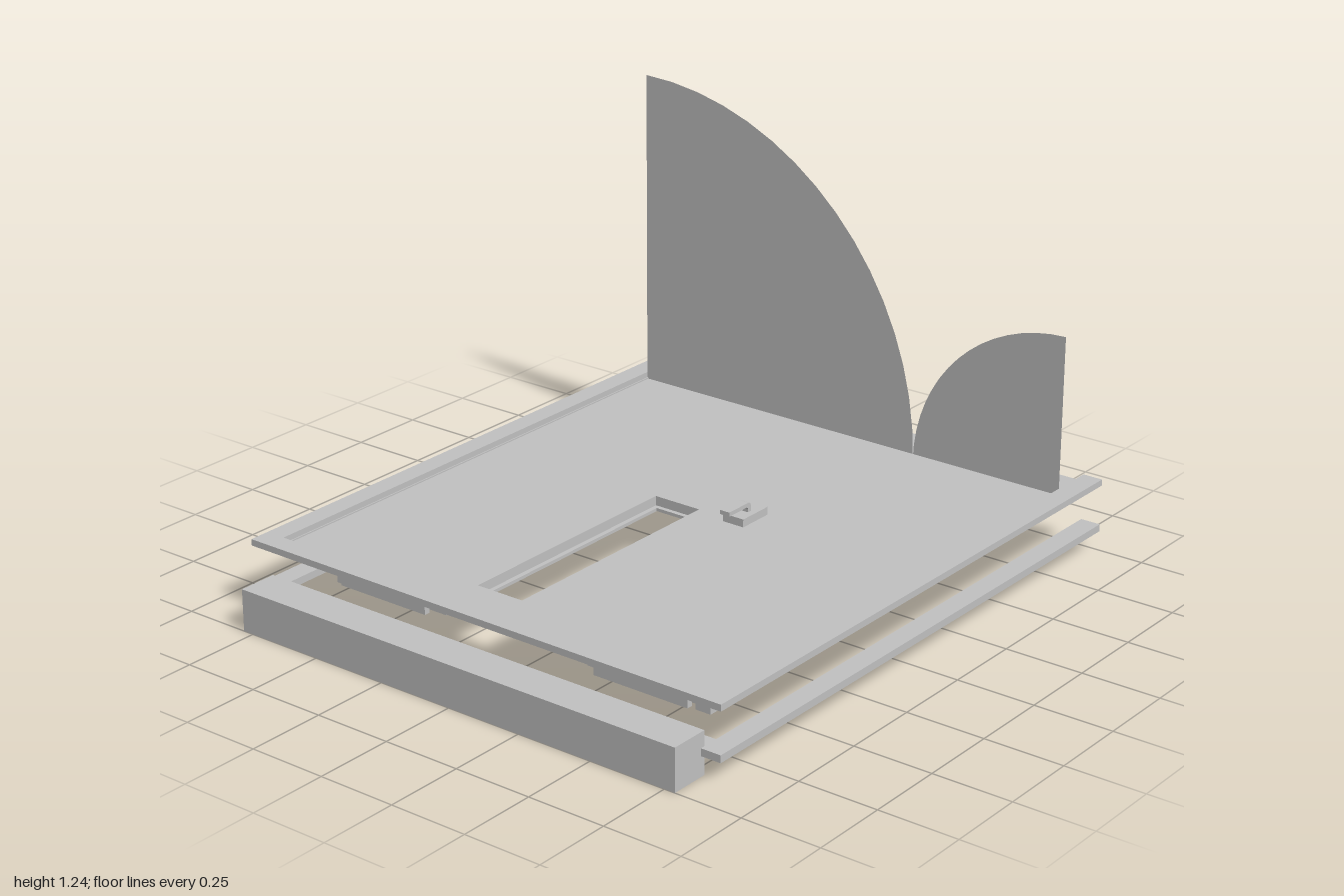
import * as THREE from 'three';

export function createModel() {
  const group = new THREE.Group();
  group.name = 'hatchPanel';
  const grey = new THREE.MeshStandardMaterial({ color: 0xc0c0c0, side: THREE.DoubleSide });
  grey.name = 'light grey';

  const add = (name, geometry) => {
    const mesh = new THREE.Mesh(geometry, grey);
    mesh.name = name;
    group.add(mesh);
    return mesh;
  };
  // Box from its minimum and maximum corners
  const box = (name, x0, x1, y0, y1, z0, z1) =>
    add(name, new THREE.BoxGeometry(x1 - x0, y1 - y0, z1 - z0))
      .position.set((x0 + x1) / 2, (y0 + y1) / 2, (z0 + z1) / 2);
  // Flat outline in x and z, raised from y0 to y1
  const slab = (name, points, y0, y1, hole) => {
    const flip = list => list.map(([x, z]) => new THREE.Vector2(x, -z));
    const shape = new THREE.Shape(flip(points));
    if (hole) shape.holes.push(new THREE.Path(flip(hole)));
    const g = new THREE.ExtrudeGeometry(shape, { depth: y1 - y0, bevelEnabled: false });
    add(name, g.rotateX(-Math.PI / 2).translate(0, y0, 0));
  };
  const rect = (x0, x1, z0, z1) => [[x0, z0], [x0, z1], [x1, z1], [x1, z0]];

  // Panel with a stepped slot
  const outline = rect(-0.785, 0.785, -1, 0.825);
  slab('panelBase', outline, 0.17, 0.18, rect(-0.145, -0.01, -0.1, 0.69));
  slab('panelTop', outline, 0.18, 0.21, rect(-0.16, 0.003, -0.115, 0.69));

  // Three-sided trim frames above and below
  const trim = [[-0.85, -1], [-0.85, 0.89], [0.85, 0.89], [0.85, -1],
    [0.785, -1], [0.785, 0.825], [-0.785, 0.825], [-0.785, -1]];
  slab('upperTrim', trim, 0.212, 0.232);
  slab('lowerTrim', trim, 0.062, 0.085);
  for (const s of [-1, 1]) {
    box('trimLip', s * 0.785 - 0.004, s * 0.785 + 0.004, 0.17, 0.214, -1, 0.825);
  }

  // Front beam
  box('frontBeam', -0.785, 0.785, 0, 0.132, 0.875, 1);

  // Thin upright quarter discs
  const quarter = (name, x, radius, start) => {
    const g = new THREE.CircleGeometry(radius, 16, start, Math.PI / 2);
    add(name, g).position.set(x, 0.19, -0.86);
  };
  quarter('largeQuarterDisc', -0.785, 1.045, 0);
  quarter('smallQuarterDisc', 0.785, 0.525, Math.PI / 2);

  // Handle plates and bent levers on both faces
  for (const s of [-1, 1]) {
    const y = d => 0.19 + s * d;
    const span = (a, b) => [Math.min(y(a), y(b)), Math.max(y(a), y(b))];
    box('handlePlate', 0.11, 0.185, ...span(0.018, 0.045), -0.21, -0.09);
    const lever = new THREE.Shape();
    lever.moveTo(0.155, 0.02);
    lever.lineTo(0.155, 0.06);
    lever.quadraticCurveTo(0.155, 0.075, 0.14, 0.075);
    lever.lineTo(0.05, 0.075);
    lever.lineTo(0.05, 0.062);
    lever.lineTo(0.132, 0.062);
    lever.quadraticCurveTo(0.141, 0.062, 0.141, 0.053);
    lever.lineTo(0.141, 0.02);
    const g = new THREE.ExtrudeGeometry(lever, { depth: 0.034, bevelEnabled: false, curveSegments: 6 });
    // Profile runs along -z, thickness along x
    g.rotateY(Math.PI / 2).translate(0.13, 0, 0);
    const mesh = add('handleLever', g);
    mesh.position.y = 0.19;
    if (s < 0) mesh.scale.y = -1;
  }

  // Latches under the front edge
  for (const [x0, x1, leg] of [[-0.61, -0.19, -0.61], [0.32, 0.74, 0.69]]) {
    box('latchBar', x0, x1, 0.145, 0.172, 0.74, 0.79);
    box('latchFoot', leg, leg + 0.05, 0.128, 0.146, 0.74, 0.79);
    box('latchTongue', x0 + 0.08, x1 - 0.08, 0.138, 0.146, 0.755, 0.785);
    box('latchClip', x0 + 0.05, x1 - 0.05, 0.145, 0.172, 0.805, 0.825);
  }
  return group;
}
